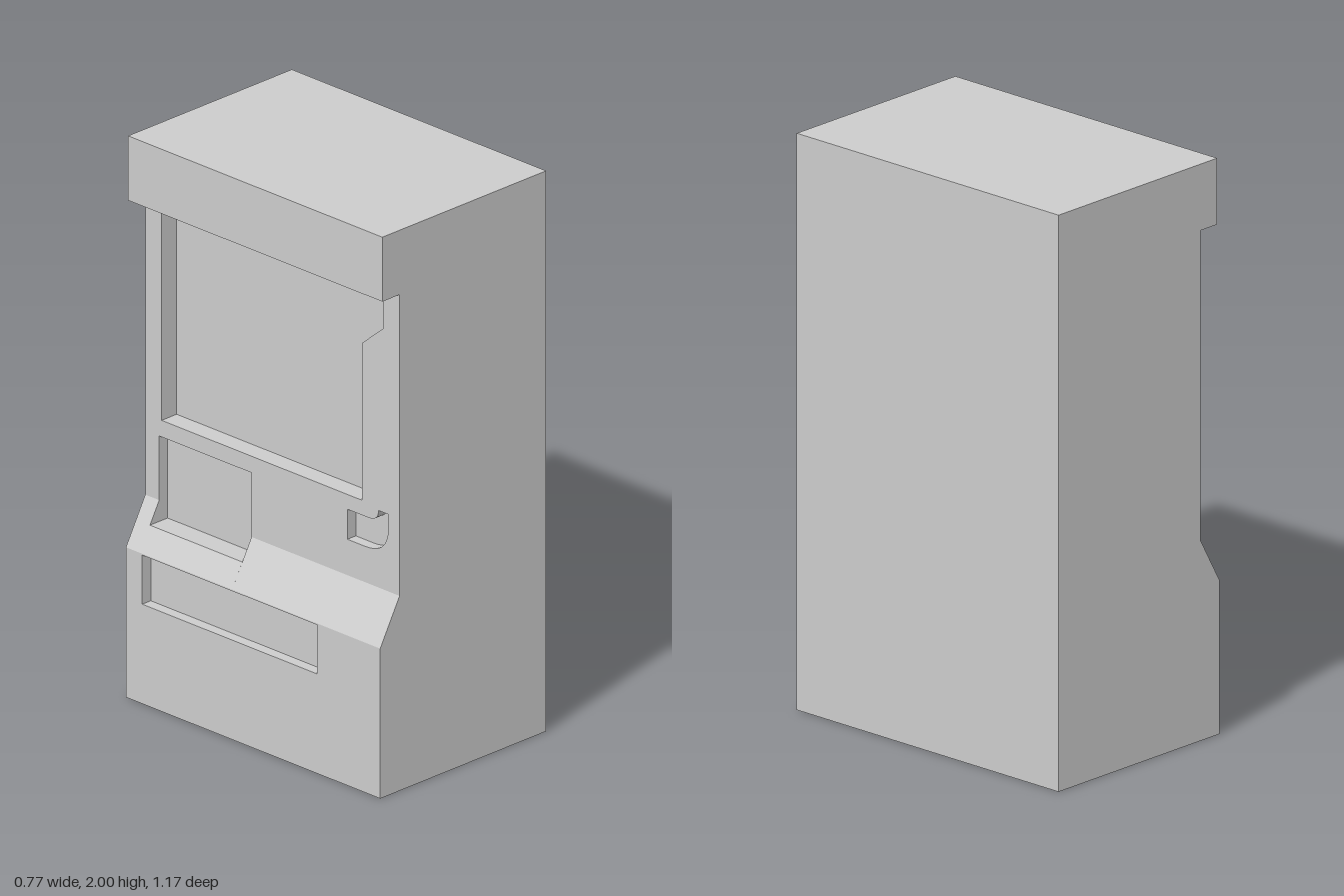
import * as THREE from 'three';

const HALF = 0.585; // half the width, along z
const FRONT = -0.295; // plane of the upright front panel, which faces -x

const polygon = (Type, pts) => new Type(pts.map(([a, b]) => new THREE.Vector2(a, b)));

export function createModel() {
  const group = new THREE.Group();
  const grey = new THREE.MeshStandardMaterial({ color: 0xcccccc });
  grey.name = 'grey';

  const add = (name, geometry) => {
    const mesh = new THREE.Mesh(geometry, grey);
    mesh.name = name;
    group.add(mesh);
  };

  // Slab drawn in (z, y) and extruded from x0 towards -x, with cut-outs
  const slab = (name, x0, x1, y0, y1, holes = []) => {
    const shape = polygon(THREE.Shape, [[-HALF, y0], [HALF, y0], [HALF, y1], [-HALF, y1]]);
    shape.holes.push(...holes);
    const geo = new THREE.ExtrudeGeometry(shape, { depth: x0 - x1, bevelEnabled: false, curveSegments: 10 });
    geo.rotateY(-Math.PI / 2);
    geo.translate(x0, 0, 0);
    add(name, geo);
  };

  // Large display window with a stepped side
  const windowHole = polygon(THREE.Path, [
    [-0.51, 0.983], [0.412, 0.983], [0.412, 1.544], [0.51, 1.626], [0.51, 1.77], [-0.51, 1.77],
  ]);

  // Dispenser opening, continued down into the sloping shelf
  const bin = { z0: -0.521, z1: -0.096, bottom: 0.619, top: 0.924 };
  const binHole = polygon(THREE.Path, [
    [bin.z0, bin.bottom], [bin.z1, bin.bottom], [bin.z1, bin.top], [bin.z0, bin.top],
  ]);

  // Small curved side pocket
  const pocket = new THREE.Path();
  pocket.moveTo(0.345, 0.823);
  pocket.lineTo(0.425, 0.823);
  pocket.quadraticCurveTo(0.533, 0.823, 0.533, 0.92);
  pocket.lineTo(0.533, 0.97);
  pocket.lineTo(0.488, 0.97);
  pocket.quadraticCurveTo(0.488, 0.93, 0.44, 0.93);
  pocket.lineTo(0.345, 0.93);
  pocket.closePath();

  // Cabinet and the two layers of its front panel
  slab('cabinet', 0.385, -0.225, 0, 2);
  slab('windowFrame', -0.225, -0.256, 0, 2, [windowHole.clone()]);
  slab('frontPanel', -0.256, FRONT, 0, 2, [windowHole, binHole, pocket]);
  slab('header', FRONT, -0.375, 1.77, 2);

  // Lower shelf: one profile per stretch of z, with the dispenser and slot cut out
  const slot = { z0: -0.51, z1: 0.295, bottom: 0.355, top: 0.53, back: -0.345 };
  const cuts = [-HALF, bin.z0, slot.z0, bin.z1, slot.z1, HALF];
  for (let i = 0; i < cuts.length - 1; i++) {
    const mid = (cuts[i] + cuts[i + 1]) / 2;
    const pts = [[FRONT, 0], [-0.385, 0]];
    if (mid > slot.z0 && mid < slot.z1) {
      pts.push([-0.385, slot.bottom], [slot.back, slot.bottom], [slot.back, slot.top], [-0.385, slot.top]);
    }
    pts.push([-0.385, 0.535]);
    if (mid > bin.z0 && mid < bin.z1) pts.push([-0.338, bin.bottom], [FRONT, bin.bottom]);
    else pts.push([FRONT, 0.695]);
    const geo = new THREE.ExtrudeGeometry(polygon(THREE.Shape, pts), {
      depth: cuts[i + 1] - cuts[i], bevelEnabled: false,
    });
    geo.translate(0, 0, cuts[i]);
    add('lowerShelf', geo);
  }

  return group;
}
